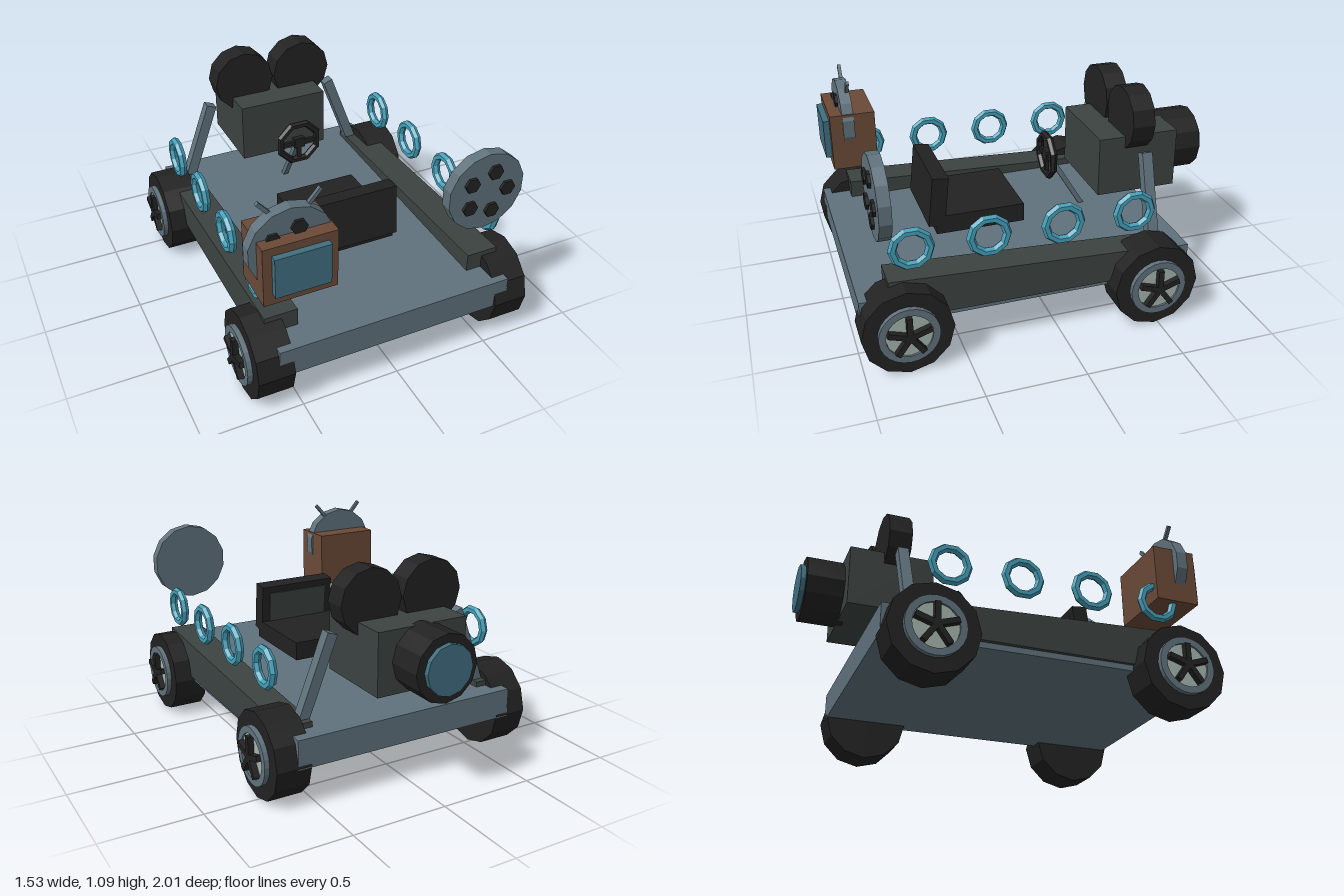
import * as THREE from 'three';

const mat = (name, color) => {
  const m = new THREE.MeshStandardMaterial({ color, flatShading: true });
  m.name = name;
  return m;
};

export function createModel() {
  const root = new THREE.Group();
  root.name = 'cart';
  const steel = mat('steel grey', 0x60727c);
  const black = mat('rubber black', 0x222222);
  const dark = mat('dark grey', 0x3c4341);
  const brown = mat('wood brown', 0x6b4a38);
  const teal = mat('ring teal', 0x459fb8);
  const glass = mat('glass blue', 0x406e80);
  const pale = mat('pale hub', 0xa5b5ae);

  const add = (name, geo, m, x = 0, y = 0, z = 0, parent = root) => {
    const mesh = new THREE.Mesh(geo, m);
    mesh.name = name;
    mesh.position.set(x, y, z);
    parent.add(mesh);
    return mesh;
  };
  // Box given by its limits on each axis
  const box = (name, m, x0, x1, y0, y1, z0, z1, parent) =>
    add(name, new THREE.BoxGeometry(x1 - x0, y1 - y0, z1 - z0), m,
      (x0 + x1) / 2, (y0 + y1) / 2, (z0 + z1) / 2, parent);
  const cylZ = (r, len, n) => new THREE.CylinderGeometry(r, r, len, n).rotateX(Math.PI / 2);
  const cylX = (r, len, n) => new THREE.CylinderGeometry(r, r, len, n).rotateZ(Math.PI / 2);
  // Square bar between two points
  const bar = (name, m, a, b, w, d = w) => {
    const p = new THREE.Vector3(...a), q = new THREE.Vector3(...b);
    const dir = q.clone().sub(p);
    const mid = p.clone().add(q).multiplyScalar(0.5);
    const mesh = add(name, new THREE.BoxGeometry(w, dir.length(), d), m, mid.x, mid.y, mid.z);
    mesh.quaternion.setFromUnitVectors(new THREE.Vector3(0, 1, 0), dir.normalize());
    return mesh;
  };

  // Chassis deck
  box('chassis', steel, -0.61, 0.61, 0.21, 0.36, -0.7, 0.99);

  // Wheels: tyre, rim ring, pale hub and five spokes
  const ring = new THREE.Shape().absarc(0, 0, 0.147, 0, Math.PI * 2);
  ring.holes.push(new THREE.Path().absarc(0, 0, 0.112, 0, Math.PI * 2, true));
  const rimGeo = new THREE.ExtrudeGeometry(ring, { depth: 0.035, bevelEnabled: false, curveSegments: 12 })
    .rotateY(Math.PI / 2);
  for (const s of [-1, 1]) {
    for (const z of [0.785, -0.48]) {
      const wheel = new THREE.Group();
      wheel.name = (z > 0 ? 'front' : 'rear') + (s > 0 ? 'LeftWheel' : 'RightWheel');
      wheel.position.set(s * 0.63, 0.222, z);
      wheel.rotation.y = s > 0 ? 0 : Math.PI;
      root.add(wheel);
      add('tyre', cylX(0.222, 0.18, 12), black, 0, 0, 0, wheel);
      add('rim', rimGeo, steel, 0.08, 0, 0, wheel);
      add('hub', cylX(0.114, 0.03, 12), pale, 0.09, 0, 0, wheel);
      for (let i = 0; i < 5; i++) {
        const spoke = new THREE.BoxGeometry(0.045, 0.108, 0.028).translate(0, 0.054, 0);
        add('spoke', spoke, black, 0.113, 0, 0, wheel).rotation.x = i * Math.PI * 0.4;
      }
    }
  }

  for (const s of [-1, 1]) {
    // Side rail: top slopes down and the rail drifts outward to the rear
    const rail = new THREE.BoxGeometry(1, 1, 1);
    const p = rail.attributes.position;
    for (let i = 0; i < p.count; i++) {
      const front = p.getZ(i) > 0, out = p.getX(i) * s > 0;
      const x = out ? (front ? 0.625 : 0.635) : (front ? 0.458 : 0.482);
      const y = p.getY(i) < 0 ? 0.24 : (front ? 0.453 : 0.388);
      p.setXYZ(i, s * x, y, front ? 0.85 : -0.6);
    }
    rail.computeVertexNormals();
    add('sideRail', rail, dark);

    // Row of floating rings
    for (const z of [0.73, 0.36, -0.01, -0.38]) {
      add('sideRing', new THREE.TorusGeometry(0.09, 0.022, 6, 10).rotateY(Math.PI / 2), teal, s * 0.615, 0.61, z);
    }

    // Strut and film reel of the rear camera
    bar('cameraStrut', steel, [s * 0.515, 0.37, -0.54], [s * 0.358, 0.79, -0.55], 0.055);
    add('filmReel', cylZ(0.166, 0.12, 12), black, s * 0.17, 0.92, -0.55);

    // Round headlight with five holes
    const cx = s * 0.497;
    add('headlightDisc', cylZ(0.206, 0.06, 14), steel, cx, 0.84, 0.85);
    for (let i = 0; i < 5; i++) {
      const a = i * Math.PI * 0.4;
      add('headlightHole', cylZ(0.04, 0.03, 6).rotateZ(Math.PI / 6), black,
        cx + 0.11 * Math.cos(a), 0.84 + 0.11 * Math.sin(a), 0.88);
    }

    // Television aerial
    bar('aerial', steel, [-0.487, 0.91, 0.835], [-0.487 + s * 0.148, 1.08, 0.835], 0.018);
  }

  // Rear camera
  box('cameraBody', dark, -0.245, 0.245, 0.52, 0.836, -0.785, -0.348);
  add('lensBarrel', cylZ(0.168, 0.22, 12), black, 0, 0.68, -0.865);
  add('lensGlass', cylZ(0.125, 0.04, 12), glass, 0, 0.68, -0.98);

  // Television
  box('televisionCase', brown, -0.66, -0.305, 0.615, 0.918, 0.71, 0.945);
  box('televisionScreen', glass, -0.617, -0.35, 0.67, 0.877, 0.93, 0.977);

  // Seat, facing the steering wheel
  box('seatBase', black, -0.22, 0.22, 0.428, 0.526, 0.055, 0.52);
  const back = new THREE.Group();
  back.name = 'seatBack';
  back.position.set(0, 0.605, 0.504);
  back.rotation.x = -0.11;
  root.add(back);
  box('backFrame', black, -0.22, 0.22, -0.132, 0.132, -0.042, 0.042, back);
  box('backPad', dark, -0.175, 0.175, -0.09, 0.095, -0.049, -0.041, back);

  // Steering wheel and column
  add('steeringWheel', new THREE.TorusGeometry(0.113, 0.02, 6, 8).rotateZ(Math.PI / 8), black, 0, 0.678, -0.148);
  box('steeringHub', black, -0.03, 0.03, 0.65, 0.706, -0.163, -0.133);
  for (let i = 0; i < 3; i++) {
    const spoke = new THREE.BoxGeometry(0.022, 0.11, 0.018).translate(0, 0.055, 0);
    add('steeringSpoke', spoke, black, 0, 0.678, -0.148).rotation.z = Math.PI / 2 + i * Math.PI / 2;
  }
  bar('steeringColumn', steel, [0, 0.678, -0.155], [0, 0.35, -0.355], 0.027);

  return root;
}
